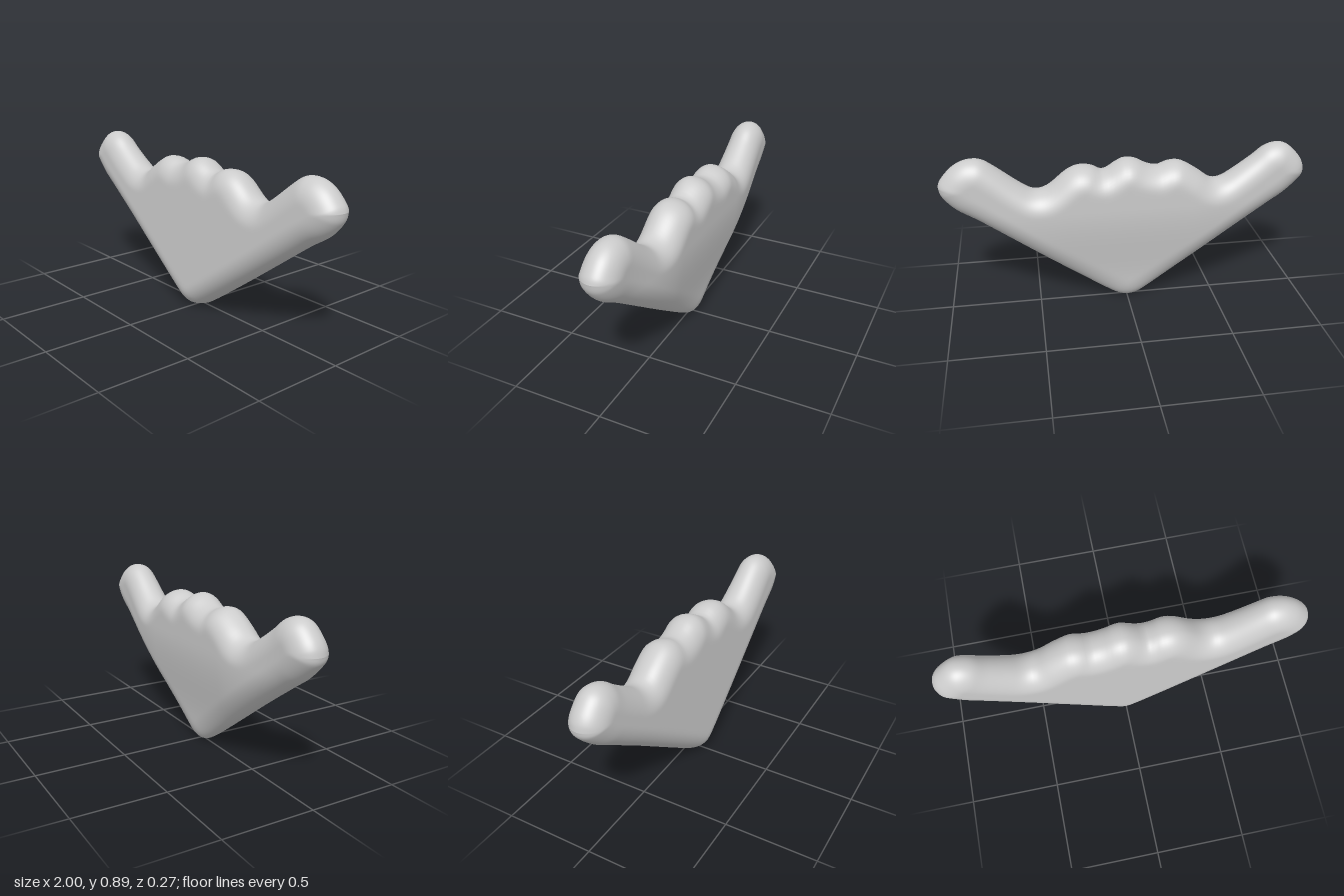
import * as THREE from 'three';

const spline = pts => new THREE.SplineCurve(pts.map(p => new THREE.Vector2(...p))).getPoints(150);

// Upper edge (scalloped middle, raised arm ends) and lower edge (broad V), left to right
const topEdge = spline([
  [-1, 0.735], [-0.99, 0.775], [-0.96, 0.82], [-0.9, 0.875], [-0.84, 0.89], [-0.77, 0.87], [-0.7, 0.815],
  [-0.6, 0.745], [-0.53, 0.705], [-0.47, 0.705], [-0.4, 0.755], [-0.33, 0.8], [-0.28, 0.82], [-0.22, 0.815],
  [-0.17, 0.797], [-0.11, 0.81], [-0.05, 0.842], [0.01, 0.85], [0.06, 0.83], [0.13, 0.79], [0.19, 0.817],
  [0.26, 0.823], [0.33, 0.795], [0.43, 0.715], [0.5, 0.7], [0.57, 0.738], [0.7, 0.84], [0.76, 0.88],
  [0.81, 0.89], [0.87, 0.88], [0.93, 0.845], [0.985, 0.785], [1, 0.75],
]);
const bottomEdge = spline([
  [-1, 0.735], [-0.985, 0.69], [-0.9, 0.605], [-0.8, 0.535], [-0.6, 0.395], [-0.4, 0.25], [-0.2, 0.105],
  [-0.1, 0.035], [-0.05, 0.008], [0, 0], [0.05, 0.012], [0.1, 0.04], [0.2, 0.108], [0.4, 0.25], [0.6, 0.395],
  [0.8, 0.54], [0.92, 0.62], [0.985, 0.695], [1, 0.75],
]);

// Height of an edge at x
function heightAt(edge, x) {
  let i = 1;
  while (i < edge.length - 1 && edge[i].x < x) i++;
  const a = edge[i - 1], b = edge[i];
  const k = THREE.MathUtils.clamp((x - a.x) / (b.x - a.x || 1), 0, 1);
  return a.y + (b.y - a.y) * k;
}

// Shortest distance from a point to the whole outline
function rimDistance(x, y) {
  let best = Infinity;
  for (const edge of [topEdge, bottomEdge]) {
    for (let i = 1; i < edge.length; i++) {
      const a = edge[i - 1], dx = edge[i].x - a.x, dy = edge[i].y - a.y;
      const k = THREE.MathUtils.clamp(((x - a.x) * dx + (y - a.y) * dy) / (dx * dx + dy * dy || 1), 0, 1);
      best = Math.min(best, Math.hypot(x - a.x - dx * k, y - a.y - dy * k));
    }
  }
  return best;
}

// Depth of the front and back faces: back swells at the upper middle
const frontDepth = y => 0.138 - 0.045 * y;
const backDepth = (x, y) => 0.07 + 0.063 * THREE.MathUtils.smoothstep(y, 0.05, 0.6)
  - 0.035 * THREE.MathUtils.smoothstep(Math.abs(x), 0.35, 0.85);

export function createModel() {
  const columns = 140, ring = 88, rimRadius = 0.12;
  const positions = [], indices = [];

  // One closed y-z loop per column, rounded towards the outline
  for (let i = 0; i <= columns; i++) {
    const x = Math.sin((i / columns - 0.5) * Math.PI);
    const low = heightAt(bottomEdge, x), high = Math.max(low, heightAt(topEdge, x));
    for (let j = 0; j < ring; j++) {
      const t = (j / ring) * Math.PI * 2;
      const y = (low + high) / 2 - (high - low) / 2 * Math.cos(t);
      const onRim = j === 0 || j === ring / 2;
      const inset = onRim ? 0 : Math.min(rimDistance(x, y) / rimRadius, 1);
      const round = Math.sqrt(1 - (1 - inset) ** 2);
      positions.push(x, y, round * (j < ring / 2 ? frontDepth(y) : -backDepth(x, y)));
    }
  }
  for (let i = 0; i < columns; i++) {
    for (let j = 0; j < ring; j++) {
      const a = i * ring + j, d = i * ring + (j + 1) % ring;
      indices.push(a, a + ring, d + ring, a, d + ring, d);
    }
  }

  const geometry = new THREE.BufferGeometry();
  geometry.setAttribute('position', new THREE.Float32BufferAttribute(positions, 3));
  geometry.setIndex(indices);
  geometry.computeVertexNormals();

  const body = new THREE.Mesh(geometry, new THREE.MeshStandardMaterial({ color: 0xcccccc }));
  body.name = 'wingedBody';
  const group = new THREE.Group();
  group.name = 'softWing';
  group.add(body);
  return group;
}
